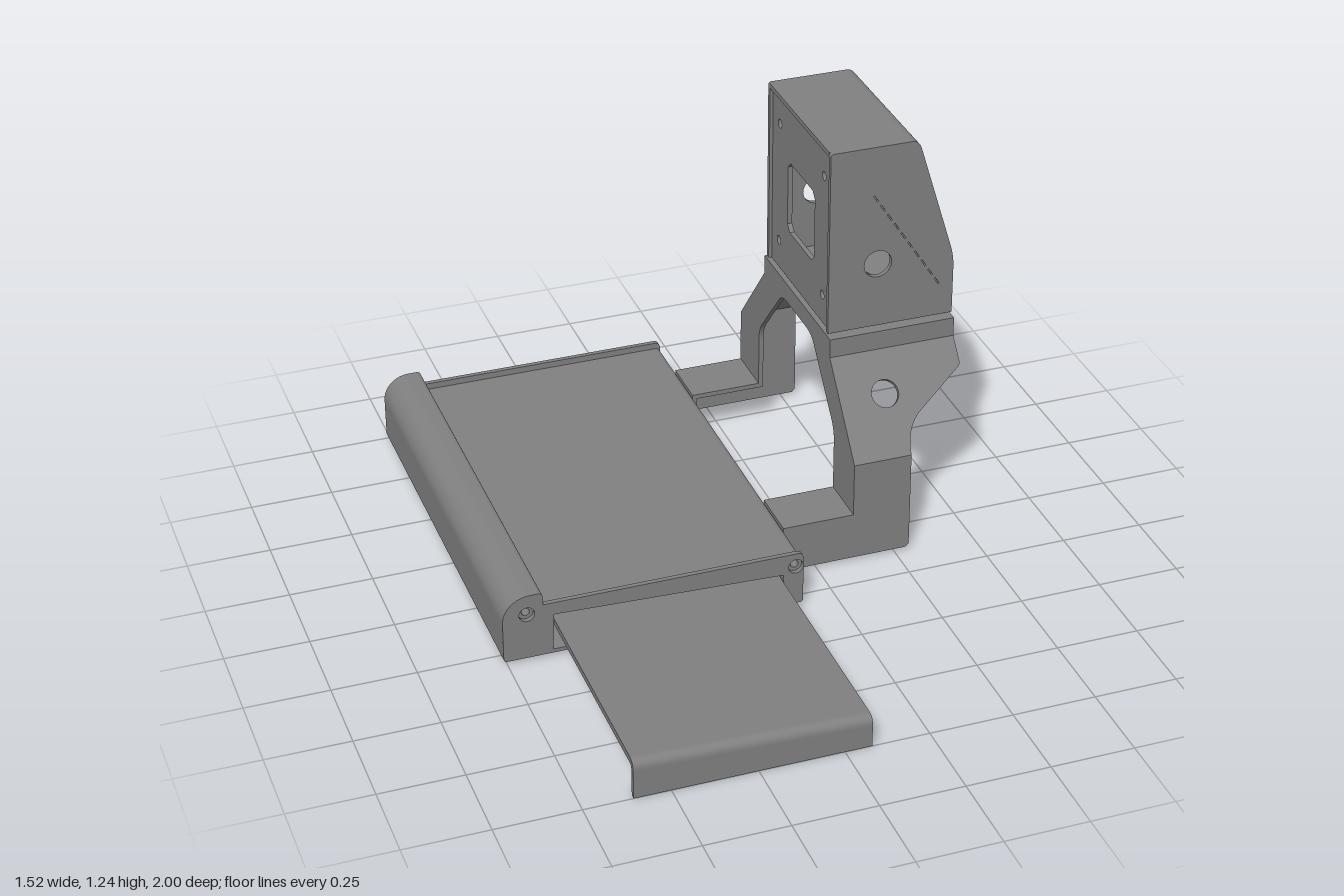
import * as THREE from 'three';

const T = 0.015; // sheet thickness

export function createModel() {
  const root = new THREE.Group();
  const grey = new THREE.MeshStandardMaterial({ color: 0x808080 });
  grey.name = 'painted grey metal';

  const add = (name, geo, parent = root) => {
    const m = new THREE.Mesh(geo, grey);
    m.name = name;
    parent.add(m);
    return m;
  };
  const poly = (pts) => new THREE.Shape(pts.map(([x, y]) => new THREE.Vector2(x, y)));
  const polyHole = (s, pts) => s.holes.push(new THREE.Path(pts.map(([x, y]) => new THREE.Vector2(x, y))));
  const roundHole = (s, x, y, r) => s.holes.push(new THREE.Path().absarc(x, y, r, 0, Math.PI * 2, true));
  // xy outline, extruded from z0 to z1
  const alongZ = (s, z0, z1) =>
    new THREE.ExtrudeGeometry(s, { depth: z1 - z0, bevelEnabled: false, curveSegments: 16 }).translate(0, 0, z0);
  // (-z, y) outline, extruded from x0 to x1
  const alongX = (s, x0, x1) => alongZ(s, x0, x1).rotateY(Math.PI / 2);
  const box = (x0, x1, y0, y1, z0, z1) =>
    new THREE.BoxGeometry(x1 - x0, y1 - y0, z1 - z0).translate((x0 + x1) / 2, (y0 + y1) / 2, (z0 + z1) / 2);

  // ---- Base: long hollow body between two end caps ----
  const baseShape = (top) => {
    const s = new THREE.Shape();
    s.moveTo(-0.75, 0.01);
    s.lineTo(0.135, 0.01);
    s.quadraticCurveTo(0.145, 0.01, 0.145, 0.02);
    s.lineTo(0.145, top - 0.02);
    s.quadraticCurveTo(0.145, top, 0.125, top);
    s.lineTo(-0.64, top);
    s.lineTo(-0.64, 0.205);
    s.quadraticCurveTo(-0.64, 0.22, -0.655, 0.22);
    s.lineTo(-0.68, 0.22);
    s.absarc(-0.68, 0.14, 0.08, Math.PI / 2, Math.PI, false);
    s.lineTo(-0.76, 0.02);
    s.quadraticCurveTo(-0.76, 0.01, -0.75, 0.01);
    return s;
  };
  const slot = [[-0.613, 0.022], [-0.608, 0.14], [0.083, 0.115], [0.083, 0.022]];
  const bolts = [[-0.688, 0.157], [0.122, 0.137]];

  const body = baseShape(0.16);
  polyHole(body, slot);
  bolts.forEach(([x, y]) => roundHole(body, x, y, 0.012));
  add('baseBody', alongZ(body, -0.985, 0.285));

  const frontCap = baseShape(0.18);
  polyHole(frontCap, slot);
  bolts.forEach(([x, y]) => roundHole(frontCap, x, y, 0.023));
  add('frontEndCap', alongZ(frontCap, 0.285, 0.3));

  const backCap = baseShape(0.18);
  [...bolts, [-0.53, 0.055], [-0.05, 0.055]].forEach(([x, y]) => roundHole(backCap, x, y, 0.02));
  add('backEndCap', alongZ(backCap, -1, -0.985));

  // ---- Sliding tray with a turned-down lip, its top tilted sideways ----
  const tray = new THREE.Shape();
  tray.moveTo(0.9, 0.1);
  tray.lineTo(-0.97, 0.1);
  tray.quadraticCurveTo(-0.985, 0.1, -0.985, 0.085);
  tray.lineTo(-0.985, 0);
  tray.lineTo(-1, 0);
  tray.lineTo(-1, 0.09);
  tray.quadraticCurveTo(-1, 0.12, -0.97, 0.12);
  tray.lineTo(0.9, 0.12);
  const trayGeo = alongX(tray, -0.607, 0.08);
  const p = trayGeo.attributes.position;
  for (let i = 0; i < p.count; i++)
    if (p.getY(i) > 0.05) p.setY(i, p.getY(i) - (p.getX(i) + 0.607) * 0.032);
  trayGeo.computeVertexNormals();
  add('slidingTray', trayGeo);

  // ---- Stand: folded sheet arch, symmetric about its own centre ----
  const stand = new THREE.Group();
  stand.name = 'stand';
  stand.position.z = -0.35;
  root.add(stand);

  const web = new THREE.Shape();
  web.moveTo(0.485, 0.145);
  [[0.485, 0.33], [0.275, 0.58], [0.275, 0.64], [-0.275, 0.64], [-0.275, 0.58], [-0.485, 0.33],
    [-0.485, 0.145], [-0.32, 0.145], [-0.32, 0.32]].forEach(([x, y]) => web.lineTo(x, y));
  web.quadraticCurveTo(-0.32, 0.355, -0.295, 0.385);
  web.lineTo(-0.15, 0.55);
  web.quadraticCurveTo(-0.125, 0.58, -0.08, 0.58);
  web.lineTo(0.08, 0.58);
  web.quadraticCurveTo(0.125, 0.58, 0.15, 0.55);
  web.lineTo(0.295, 0.385);
  web.quadraticCurveTo(0.32, 0.355, 0.32, 0.32);
  web.lineTo(0.32, 0.145);
  add('archWeb', alongX(web, 0.365, 0.365 + T), stand);

  for (const side of [1, -1]) {
    const arm = new THREE.Group();
    arm.name = side > 0 ? 'frontArm' : 'backArm';
    arm.scale.z = side;
    stand.add(arm);

    // upright side plate with the foot
    const lower = poly([[0.145, 0.01], [0.535, 0.01], [0.545, 0.02], [0.545, 0.33], [0.365, 0.33], [0.365, 0.16], [0.145, 0.16]]);
    add('armSidePlate', alongZ(lower, 0.485 - T, 0.485), arm);

    // slanted flaring plate
    const flare = new THREE.Shape();
    flare.moveTo(0.365, 0);
    flare.lineTo(0.545, 0);
    flare.quadraticCurveTo(0.55, 0.085, 0.605, 0.125);
    flare.lineTo(0.75, 0.232);
    flare.quadraticCurveTo(0.758, 0.238, 0.758, 0.25);
    flare.lineTo(0.758, 0.3265);
    flare.lineTo(0.365, 0.3265);
    roundHole(flare, 0.508, 0.193, 0.042);
    add('armFlarePlate', alongZ(flare, -T, 0).rotateX(-Math.atan2(0.21, 0.25)).translate(0, 0.33, 0.485), arm);
    add('neckSkirt', box(0.365, 0.758, 0.575, 0.64, 0.275 - T, 0.275), arm);

    // foot top and bolted end plate
    add('footTop', box(0.145, 0.38, 0.145, 0.16, 0.32, 0.485), arm);
    const end = poly([[0.32, 0.01], [0.485, 0.01], [0.485, 0.16], [0.32, 0.16]]);
    for (const w of [0.365, 0.45]) for (const y of [0.068, 0.12]) roundHole(end, w, y, 0.013);
    // the outline runs along -z, so it is mirrored back to the arm's outer side
    add('footEndPlate', alongX(end, 0.145, 0.145 + T).translate(-0.145 - T / 2, 0, 0).rotateY(Math.PI).translate(0.145 + T / 2, 0, 0), arm);
  }

  // horizontal plate with square opening and screw holes (outline in x, -z)
  const deck = (name, y0, y1, hw, x0, half) => {
    const s = poly([[x0, -hw], [0.758, -hw], [0.758, hw], [x0, hw]]);
    const c = 0.56;
    if (half > 0.07) polyHole(s, [[c - half, -half + 0.03], [c - half, half - 0.03], [c - half + 0.03, half],
      [c + half - 0.03, half], [c + half, half - 0.03], [c + half, -half + 0.03], [c + half - 0.03, -half], [c - half + 0.03, -half]]);
    else roundHole(s, c, 0, half);
    for (const a of [-1, 1]) for (const b of [-1, 1]) roundHole(s, c + a * 0.13, b * 0.17, 0.014);
    add(name, alongZ(s, y0, y1).rotateX(-Math.PI / 2), stand);
  };
  deck('neckPlate', 0.615, 0.64, 0.275, 0.365, 0.09);

  // ---- Head: hollow housing with a slanted front ----
  const H = 0.255;
  const headOutline = (d) => {
    const s = new THREE.Shape();
    s.moveTo(0.365 + d, 0.65 + d);
    s.lineTo(0.758 - d, 0.65 + d);
    s.lineTo(0.758 - d, 0.8);
    s.quadraticCurveTo(0.758 - d, 0.84, 0.745 - d, 0.88);
    s.lineTo(0.644 - d, 1.21 - d);
    s.quadraticCurveTo(0.636 - d, 1.235 - d, 0.612 - d, 1.235 - d);
    s.lineTo(0.375 + d, 1.235 - d);
    s.quadraticCurveTo(0.365 + d, 1.235 - d, 0.365 + d, 1.225 - d);
    return s;
  };
  for (const side of [1, -1]) {
    const s = headOutline(0);
    roundHole(s, 0.518, 0.855, 0.043);
    // dashed slits along the inner baffle
    const a = new THREE.Vector2(0.5, 1.08), b = new THREE.Vector2(0.722, 0.74);
    const n = new THREE.Vector2(0.0017, 0.0011);
    for (let i = 0; i < 10; i++) {
      const q = a.clone().lerp(b, i / 10), r = a.clone().lerp(b, (i + 0.6) / 10);
      polyHole(s, [[q.x - n.x, q.y - n.y], [r.x - n.x, r.y - n.y], [r.x + n.x, r.y + n.y], [q.x + n.x, q.y + n.y]]);
    }
    const z = side > 0 ? H - T : -H;
    add('headSide', alongZ(s, z, z + T), stand);
  }
  // wrap over the top and down the slanted front, open behind and below
  const wrap = new THREE.Shape();
  wrap.moveTo(0.758, 0.65);
  wrap.lineTo(0.758, 0.8);
  wrap.quadraticCurveTo(0.758, 0.84, 0.745, 0.88);
  wrap.lineTo(0.644, 1.21);
  wrap.quadraticCurveTo(0.636, 1.235, 0.612, 1.235);
  [[0.365, 1.235], [0.365, 1.22], [0.622, 1.22], [0.73, 0.875], [0.743, 0.8], [0.743, 0.65]].forEach(([x, y]) => wrap.lineTo(x, y));
  add('headWrap', alongZ(wrap, -H + T, H - T), stand);
  deck('headFloor', 0.65, 0.665, H - T, 0.38, 0.05);
  add('headSpacer', box(0.4, 0.74, 0.64, 0.65, -H + 0.02, -0.2), stand);
  add('headSpacer', box(0.4, 0.74, 0.64, 0.65, 0.2, H - 0.02), stand);

  // recessed rear panel with a square opening and corner screw holes
  const panel = poly([[-0.24, 0.65], [0.24, 0.65], [0.24, 1.22], [-0.24, 1.22]]);
  polyHole(panel, [[-0.11, 0.83], [-0.11, 1.02], [-0.09, 1.04], [0.09, 1.04], [0.11, 1.02], [0.11, 0.83], [0.09, 0.81], [-0.09, 0.81]]);
  for (const w of [-0.18, 0.18]) for (const y of [0.74, 1.13]) roundHole(panel, w, y, 0.014);
  add('headRearPanel', alongX(panel, 0.375, 0.39), stand);

  return root;
}
